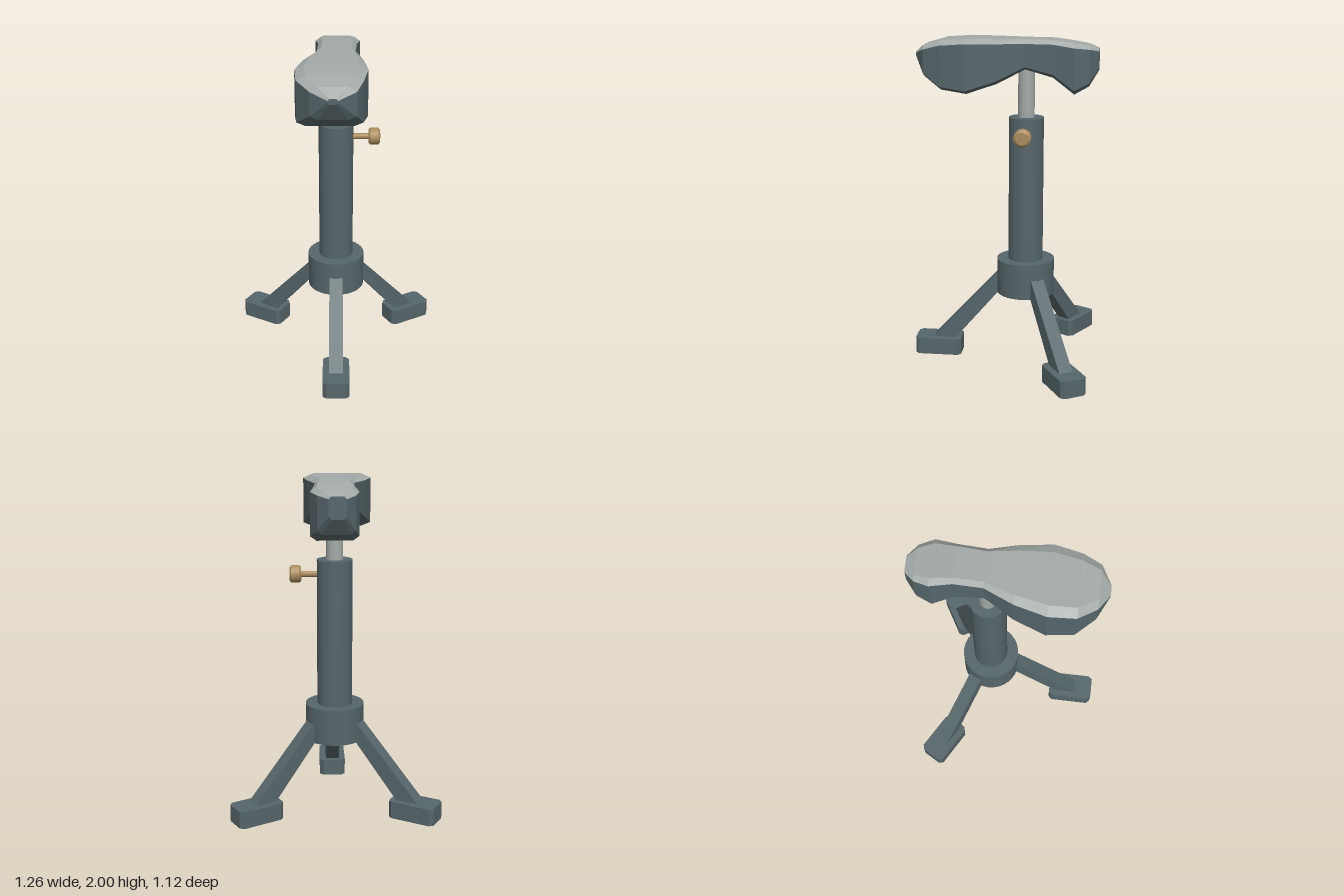
import * as THREE from 'three';
import { toCreasedNormals } from 'three/addons/utils/BufferGeometryUtils.js';

const AXIS_X = -0.003, AXIS_Z = -0.135; // the upright post

function material(name, color) {
  const m = new THREE.MeshStandardMaterial({ color });
  m.name = name;
  return m;
}

function part(name, geometry, mat) {
  const mesh = new THREE.Mesh(geometry, mat);
  mesh.name = name;
  return mesh;
}

function lathe(points, segments) {
  const profile = points.map(([r, y]) => new THREE.Vector2(r, y));
  return toCreasedNormals(new THREE.LatheGeometry(profile, segments), 0.5);
}

function extrude(points, depth) {
  const shape = new THREE.Shape(points.map(([x, y]) => new THREE.Vector2(x, y)));
  return new THREE.ExtrudeGeometry(shape, { depth, bevelEnabled: false });
}

// Saddle cross-sections, back to front: z, right edge, left edge, bottom, top,
// chamfer width, top chamfer height, bottom chamfer height
const SADDLE = [
  [-0.565, -0.055, 0.045, 1.82, 1.945, 0.015, 0.015, 0.015],
  [-0.51, -0.107, 0.107, 1.73, 1.965, 0.03, 0.02, 0.02],
  [-0.425, -0.13, 0.144, 1.685, 1.98, 0.035, 0.025, 0.025],
  [-0.3, -0.11, 0.122, 1.78, 1.998, 0.025, 0.025, 0.02],
  [-0.135, -0.115, 0.112, 1.825, 2.0, 0.026, 0.025, 0.015],
  [0.03, -0.188, 0.155, 1.74, 2.0, 0.045, 0.025, 0.02],
  [0.21, -0.235, 0.178, 1.68, 2.0, 0.055, 0.025, 0.022],
  [0.365, -0.222, 0.15, 1.7, 1.99, 0.052, 0.027, 0.022],
  [0.47, -0.147, 0.11, 1.775, 1.962, 0.045, 0.027, 0.02],
  [0.53, -0.05, 0.01, 1.883, 1.915, 0.012, 0.01, 0.01],
];

function saddleRing([z, l, r, b, t, c, ht, hb]) {
  return [
    [r, b + hb], [r, t - ht], [r - c, t], [l + c, t],
    [l, t - ht], [l, b + hb], [l + c, b], [r - c, b],
  ].map(([x, y]) => [x, y, z]);
}

// Skins the given strips between the rings; optionally closes both ends
function saddleSkin(strips, capped) {
  const rings = SADDLE.map(saddleRing);
  const pos = [];
  const tri = (a, b, c) => pos.push(...a, ...b, ...c);
  for (let i = 0; i < rings.length - 1; i++) {
    for (const j of strips) {
      const k = (j + 1) % 8;
      const a = rings[i][j], b = rings[i][k], c = rings[i + 1][k], d = rings[i + 1][j];
      tri(a, b, d);
      tri(b, c, d);
    }
  }
  if (capped) {
    const back = rings[0], front = rings[rings.length - 1];
    for (let j = 1; j < 7; j++) {
      tri(front[0], front[j], front[j + 1]);
      tri(back[0], back[j + 1], back[j]);
    }
  }
  const g = new THREE.BufferGeometry();
  g.setAttribute('position', new THREE.Float32BufferAttribute(pos, 3));
  g.computeVertexNormals();
  return g;
}

export function createModel() {
  const model = new THREE.Group();
  model.name = 'saddleStool';
  const dark = material('slate', 0x56666a);
  const grey = material('paleGrey', 0xa3aaa8);
  const brass = material('brass', 0xa98b5c);

  // Saddle: pale upper skin, slate sides and underside
  const saddle = new THREE.Group();
  saddle.name = 'saddle';
  saddle.add(part('saddleTop', saddleSkin([1, 2, 3], false), grey));
  saddle.add(part('saddleBody', saddleSkin([0, 4, 5, 6, 7], true), dark));
  model.add(saddle);

  const stand = new THREE.Group();
  stand.name = 'stand';
  stand.position.set(AXIS_X, 0, AXIS_Z);
  model.add(stand);

  // Post, sliding rod, and hub with a recess underneath
  const post = new THREE.CylinderGeometry(0.106, 0.106, 0.93, 32);
  post.translate(0, 1.065, 0);
  stand.add(part('post', post, dark));
  const rod = new THREE.CylinderGeometry(0.05, 0.05, 0.4, 24);
  rod.translate(0, 1.7, 0);
  stand.add(part('rod', rod, grey));
  stand.add(part('hub', lathe([
    [0, 0.52], [0.04, 0.52], [0.04, 0.425], [0.177, 0.425], [0.177, 0.645], [0, 0.645],
  ], 32), dark));

  // Clamp screw on the model's left
  const screw = lathe([
    [0, 0.09], [0.018, 0.09], [0.018, 0.198], [0.04, 0.198], [0.052, 0.208],
    [0.052, 0.257], [0.038, 0.268], [0, 0.268],
  ], 20);
  screw.rotateZ(-Math.PI / 2);
  screw.translate(0, 1.443, 0);
  stand.add(part('clampScrew', screw, brass));

  // Three slanted legs with chamfered foot blocks
  const legGeo = extrude([[0.13, 0.47], [0.445, 0.1], [0.585, 0.1], [0.172, 0.548], [0.13, 0.548]], 0.085);
  legGeo.translate(0, 0, -0.0425);
  legGeo.rotateY(-Math.PI / 2);

  const w = 0.0825, l = 0.145, c = 0.022;
  const footGeo = extrude([
    [w, -l + c], [w, l - c], [w - c, l], [-w + c, l],
    [-w, l - c], [-w, -l + c], [-w + c, -l], [w - c, -l],
  ], 0.105);
  footGeo.rotateX(-Math.PI / 2);
  footGeo.translate(0, 0, 0.55);

  ['front', 'backLeft', 'backRight'].forEach((side, i) => {
    const limb = new THREE.Group();
    limb.name = side + 'Support';
    limb.rotation.y = (i * Math.PI * 2) / 3;
    limb.add(part(side + 'Leg', legGeo, dark));
    limb.add(part(side + 'Foot', footGeo, dark));
    stand.add(limb);
  });

  return model;
}
